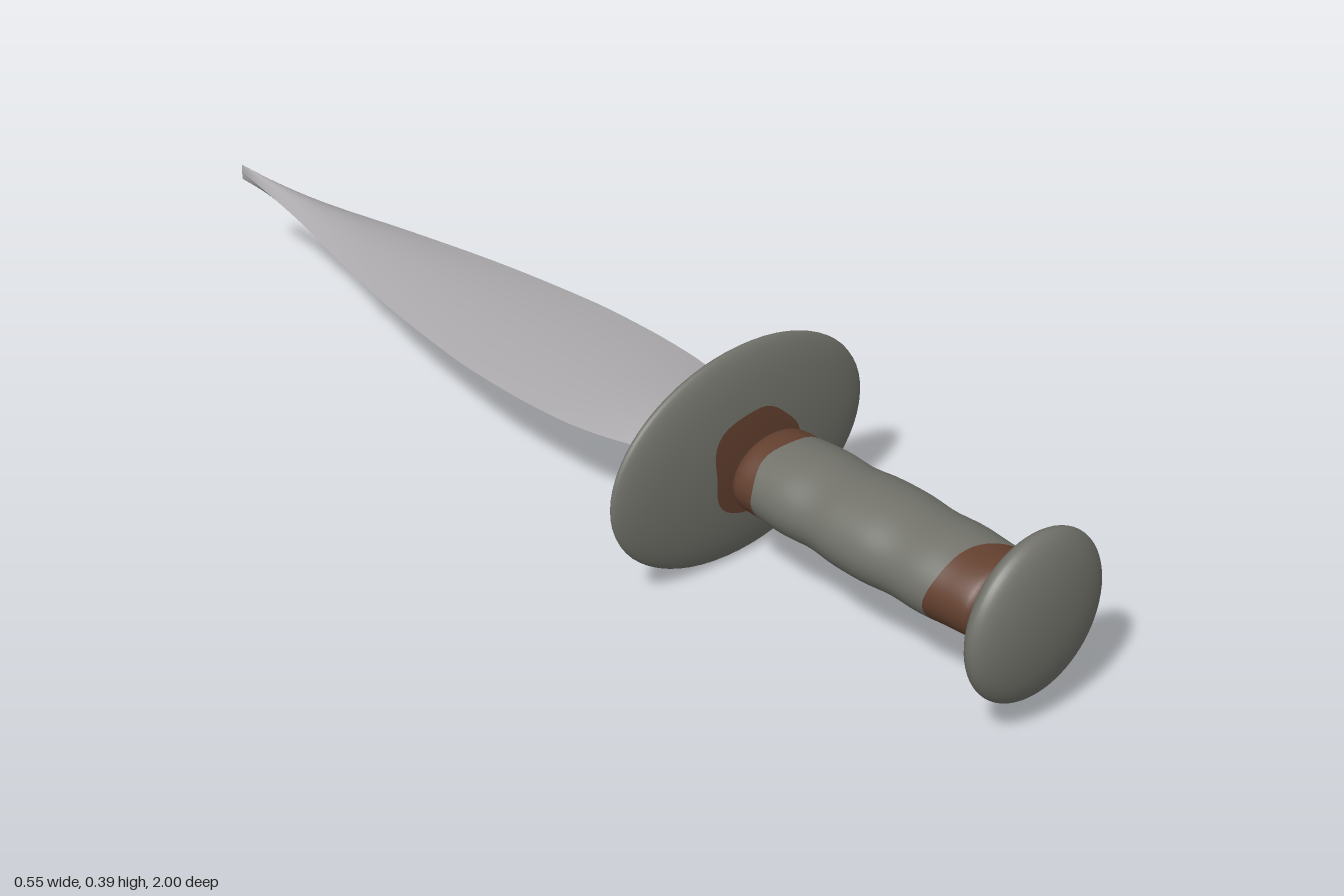
import * as THREE from 'three';

const Y = 0.193; // height of the long axis

const mat = (name, color, side = THREE.FrontSide) =>
  Object.assign(new THREE.MeshStandardMaterial({ color, side }), { name });

// Smooth interpolation through [position, value] pairs
function profile(pairs) {
  return (p) => {
    let k = 0;
    while (k < pairs.length - 2 && p > pairs[k + 1][0]) k++;
    const [a, va] = pairs[k], [b, vb] = pairs[k + 1];
    const at = (i) => pairs[Math.min(Math.max(i, 0), pairs.length - 1)];
    const slope = (i) => (at(i + 1)[1] - at(i - 1)[1]) / (at(i + 1)[0] - at(i - 1)[0]);
    const h = b - a, t = Math.min(Math.max((p - a) / h, 0), 1), t2 = t * t, t3 = t2 * t;
    return va * (2 * t3 - 3 * t2 + 1) + slope(k) * h * (t3 - 2 * t2 + t)
      + vb * (3 * t2 - 2 * t3) + slope(k + 1) * h * (t3 - t2);
  };
}

// Closed rings joined along v; fn(angle, v) returns [x, y, z]
function loft(fn, around, along) {
  const pos = [], idx = [];
  for (let j = 0; j <= along; j++)
    for (let i = 0; i < around; i++) pos.push(...fn((i / around) * Math.PI * 2, j / along));
  for (let j = 0; j < along; j++)
    for (let i = 0; i < around; i++) {
      const n = (i + 1) % around;
      const a = j * around + i, b = j * around + n, c = a + around, d = b + around;
      idx.push(a, b, d, a, d, c);
    }
  const g = new THREE.BufferGeometry();
  g.setAttribute('position', new THREE.Float32BufferAttribute(pos, 3));
  g.setIndex(idx);
  g.computeVertexNormals();
  return g;
}

// Lens-shaped disc lying across the long axis
function lens({ rx, ry, h, z, p }) {
  const pts = [];
  for (let i = 0; i <= 32; i++) {
    const t = (i / 32 - 0.5) * Math.PI, s = Math.sin(t);
    pts.push(new THREE.Vector2(Math.max(Math.cos(t), 0), Math.sign(s) * h * Math.abs(s) ** p));
  }
  return new THREE.LatheGeometry(pts, 64).rotateX(Math.PI / 2).scale(rx, ry, 1).translate(0, 0, z);
}

// Thin irregular patch hugging one face of a lens
function patch({ rx, ry, h, z, p }, face, radius) {
  return loft((a, v) => {
    const r = (face > 0 ? 1 - v : v) * radius * (1 + 0.06 * Math.sin(3 * a + 1) + 0.04 * Math.cos(5 * a));
    const x = r * Math.cos(a), y = r * Math.sin(a);
    const d = Math.sqrt(Math.max(0, 1 - (x / rx) ** 2 - (y / ry) ** 2));
    return [x, y, z + face * (h * d ** p + 0.003)];
  }, 48, 6);
}

export function createModel() {
  const group = new THREE.Group();
  const steel = mat('blade steel', 0xacaaac, THREE.DoubleSide);
  const iron = mat('dark iron grey', 0x72726b);
  const leather = mat('brown leather', 0x63402f);
  const add = (name, geometry, material) => {
    const m = new THREE.Mesh(geometry, material);
    m.name = name;
    m.position.y = Y;
    group.add(m);
  };

  // Guard and pommel
  const guard = { rx: 0.277, ry: 0.193, h: 0.038, z: 0.325, p: 1.1 };
  const pommel = { rx: 0.144, ry: 0.144, h: 0.046, z: 0.954, p: 1 };
  add('guard', lens(guard), iron);
  add('guardPatch', patch(guard, 1, 0.093), leather);
  add('pommel', lens(pommel), iron);
  add('pommelPatch', patch(pommel, -1, 0.09), leather);

  // Grip: grey wrap between two worn leather ends
  const gripR = profile([[0.392, 0.076], [0.402, 0.087], [0.44, 0.09], [0.5, 0.094], [0.56, 0.091],
    [0.61, 0.096], [0.67, 0.097], [0.73, 0.092], [0.79, 0.094], [0.84, 0.09], [0.885, 0.087], [0.9, 0.082], [0.906, 0.072]]);
  const ring = (a, z, k = 1) => [k * gripR(z) * Math.cos(a), k * 0.76 * gripR(z) * Math.sin(a), z];
  const frontEdge = (a) => 0.443 + 0.005 * Math.sin(2 * a + 0.5) + 0.003 * Math.sin(5 * a);
  const rearEdge = (a) => 0.846 + 0.03 * Math.cos(a) + 0.006 * Math.sin(3 * a);
  const strip = (z0, z1, n) => loft((a, v) => ring(a, z0(a) + (z1(a) - z0(a)) * v), 48, n);
  add('gripWrap', strip(frontEdge, rearEdge, 40), iron);
  add('gripGuardEnd', strip(() => 0.392, frontEdge, 10), leather);
  add('gripPommelEnd', strip(rearEdge, () => 0.906, 12), leather);
  add('gripGuardCap', loft((a, v) => ring(a, 0.392, v), 48, 1), leather);
  add('gripPommelCap', loft((a, v) => ring(a, 0.906, 1 - v), 48, 1), leather);

  // Leaf-shaped blade with a lens cross-section, rooted inside the guard
  const width = profile([[-1, 0.001], [-0.9, 0.018], [-0.77, 0.043], [-0.6, 0.084], [-0.4, 0.125], [-0.2, 0.152],
    [-0.1, 0.157], [0, 0.156], [0.1, 0.146], [0.2, 0.117], [0.28, 0.078], [0.32, 0.056]]);
  const thick = profile([[-1, 0.015], [-0.7, 0.013], [-0.4, 0.012], [0, 0.014], [0.15, 0.019], [0.32, 0.024]]);
  for (const s of [1, -1]) {
    // Upper and lower faces are separate so the cutting edges stay sharp
    const pos = [], idx = [], nu = 16, nv = 64;
    for (let j = 0; j <= nv; j++) {
      const z = -1 + (1.32 * j) / nv;
      for (let i = 0; i <= nu; i++) {
        const u = (i / nu) * 2 - 1;
        pos.push(u * width(z), s * thick(z) * (1 - u * u), z);
        if (i < nu && j < nv) {
          const a = j * (nu + 1) + i, b = a + 1, c = a + nu + 1, d = c + 1;
          idx.push(...(s > 0 ? [a, c, b, b, c, d] : [a, b, c, b, d, c]));
        }
      }
    }
    const g = new THREE.BufferGeometry();
    g.setAttribute('position', new THREE.Float32BufferAttribute(pos, 3));
    g.setIndex(idx);
    g.computeVertexNormals();
    add(s > 0 ? 'bladeUpperFace' : 'bladeLowerFace', g, steel);
  }
  return group;
}
